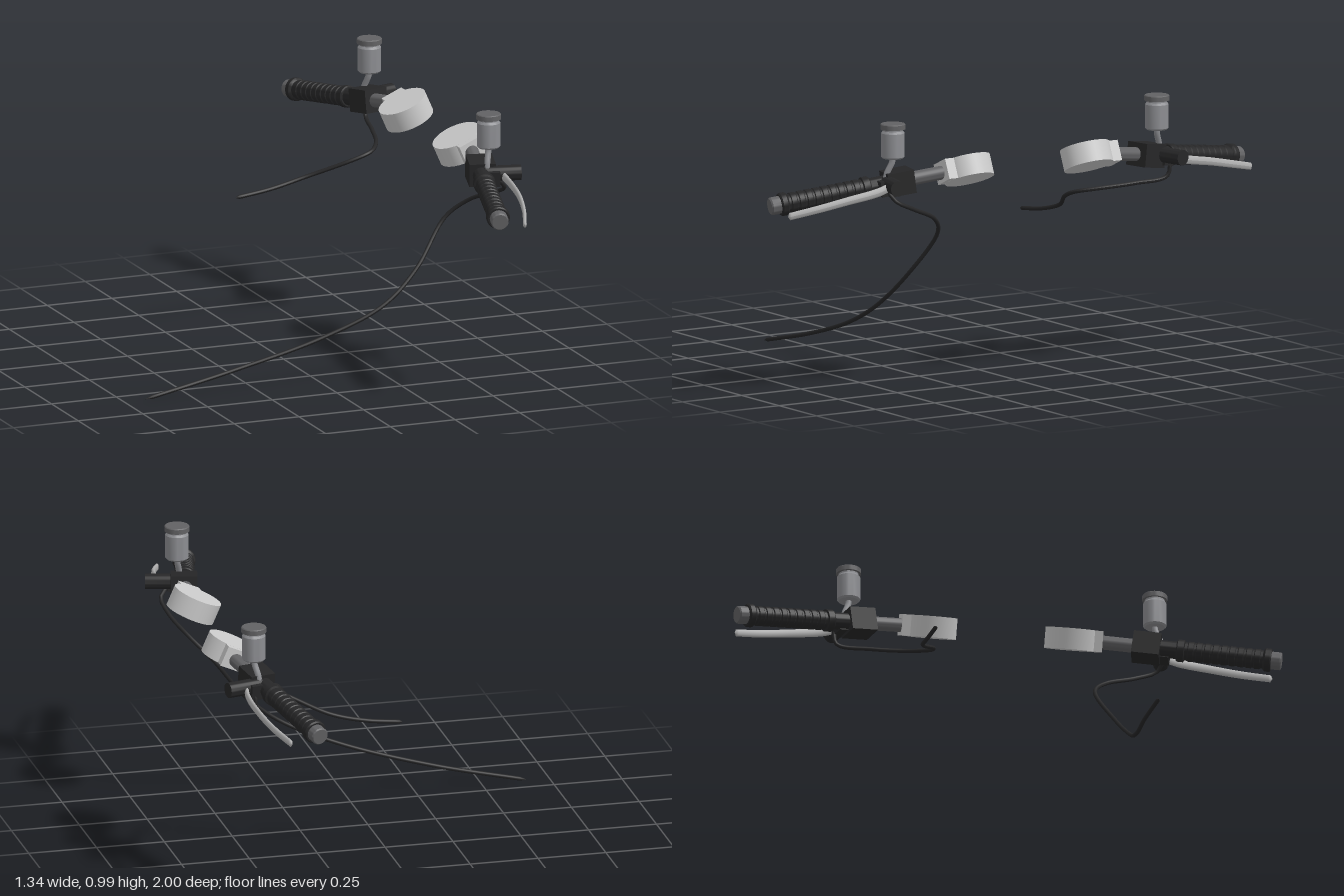
import * as THREE from 'three';
import { toCreasedNormals } from 'three/addons/utils/BufferGeometryUtils.js';

const V = (x, y, z) => new THREE.Vector3(x, y, z);
const UP = V(0, 1, 0);

export function createModel() {
  const paint = (name, color) => {
    const m = new THREE.MeshStandardMaterial({ color });
    m.name = name;
    return m;
  };
  const rubber = paint('blackRubber', 0x262627);
  const steel = paint('darkSteel', 0x626264);
  const grey = paint('reservoirGrey', 0x8c8d91);
  const alloy = paint('lightAlloy', 0xcacaca);
  const silver = paint('leverSilver', 0xb0b0b0);

  const root = new THREE.Group();
  root.name = 'handlebarControls';

  const add = (parent, name, geometry, material) => {
    const mesh = new THREE.Mesh(geometry, material);
    mesh.name = name;
    parent.add(mesh);
    return mesh;
  };

  // Turned part: closed profile of [radius, height], set at a base along a direction
  const turned = (parent, name, profile, material, base, dir) => {
    const pts = profile.map(([r, h]) => new THREE.Vector2(r, h));
    const geo = toCreasedNormals(new THREE.LatheGeometry(pts, 28), 0.6);
    const mesh = add(parent, name, geo, material);
    mesh.position.copy(base);
    mesh.quaternion.setFromUnitVectors(UP, dir);
    return mesh;
  };
  const rod = (parent, name, r, from, to, material) => {
    const d = to.clone().sub(from);
    const h = d.length();
    return turned(parent, name, [[0, 0], [r, 0], [r, h], [0, h]], material, from, d.normalize());
  };

  // Tube through points, flattened sideways and closed at both ends
  const sweep = (parent, name, points, r, flat, material, taper = 0) => {
    const path = new THREE.CatmullRomCurve3(points);
    const seg = 64, sides = 10;
    const geo = new THREE.TubeGeometry(path, seg, r, sides);
    const pos = geo.attributes.position, v = V(0, 0, 0);
    for (let i = 0; i < pos.count; i++) {
      const row = Math.floor(i / (sides + 1));
      const p = path.getPointAt(row / seg);
      const k = row === 0 || row === seg ? 0 : 1 - taper * row / seg;
      v.fromBufferAttribute(pos, i).sub(p).multiply(V(flat * k, k, flat * k)).add(p);
      pos.setXYZ(i, v.x, v.y, v.z);
    }
    geo.computeVertexNormals();
    return add(parent, name, geo, material);
  };

  for (const s of [1, -1]) {
    const side = new THREE.Group();
    side.name = s > 0 ? 'nearControls' : 'farControls';
    root.add(side);
    const P = (x, y, z) => V(x, y, z * s);
    // Point on the handlebar axis at a given distance from the middle
    const onBar = z => P(0.43 + 0.24 * (0.98 - z), 0.721 + 0.137 * (0.98 - z), z);
    const inward = onBar(0).sub(onBar(1)).normalize();

    // Bar and end weight
    rod(side, 'bar', 0.025, onBar(0.96), onBar(0.28), steel);
    turned(side, 'barEnd', [[0, 0], [0.028, 0], [0.032, 0.005], [0.032, 0.05], [0, 0.05]],
      steel, onBar(0.993), inward);

    // Ribbed grip with flanges at both ends
    const grip = [[0, 0], [0.038, 0], [0.042, 0.005], [0.042, 0.022], [0.038, 0.027], [0.033, 0.03]];
    for (let i = 0; i < 9; i++) {
      const h = 0.038 + i * 0.03;
      grip.push([0.033, h], [0.036, h + 0.003], [0.036, h + 0.021], [0.033, h + 0.024]);
    }
    grip.push([0.033, 0.312], [0.04, 0.315], [0.04, 0.338], [0.036, 0.342], [0, 0.342]);
    turned(side, 'grip', grip, rubber, onBar(0.958), inward);

    // Switch housing and lever perch around the bar
    const block = (name, w, h, d, at) => {
      const mesh = new THREE.Mesh(new THREE.BoxGeometry(w, h, d), rubber);
      mesh.name = name;
      mesh.position.copy(at);
      mesh.lookAt(at.clone().add(inward));
      side.add(mesh);
    };
    block('switchHousing', 0.095, 0.085, 0.1, onBar(0.525).add(P(0.005, 0, 0)));
    block('leverPerch', 0.07, 0.055, 0.045, onBar(0.588).add(P(0.03, -0.005, 0)));
    rod(side, 'barSleeve', 0.031, onBar(0.64), onBar(0.56), rubber);
    rod(side, 'masterCylinder', 0.028, P(0.54, 0.782, 0.57), P(0.668, 0.782, 0.602), rubber);

    // Fluid reservoir with lid and feed pipe
    turned(side, 'reservoir', [[0, 0], [0.036, 0], [0.042, 0.006], [0.042, 0.092],
      [0.036, 0.1], [0.036, 0.112], [0, 0.112]], grey, P(0.562, 0.874, 0.558), UP);
    turned(side, 'reservoirLid', [[0, 0], [0.045, 0], [0.045, 0.017], [0.042, 0.02], [0, 0.02]],
      steel, P(0.562, 0.98, 0.558), UP);
    sweep(side, 'feedPipe', [P(0.563, 0.885, 0.558), P(0.56, 0.86, 0.56), P(0.55, 0.82, 0.575),
      P(0.547, 0.79, 0.58)], 0.011, 1, grey);

    // Curved lever blade
    sweep(side, 'lever', [P(0.595, 0.785, 0.575), P(0.604, 0.765, 0.64), P(0.593, 0.742, 0.77),
      P(0.566, 0.718, 0.88), P(0.528, 0.695, 0.98)], 0.017, 0.5, silver, 0.2);

    // Raked fork clamp: round disc with a lug gripping the bar
    const clamp = new THREE.Group();
    clamp.name = 'forkClamp';
    clamp.position.copy(P(0.577, 0.807, 0.252));
    clamp.rotation.z = 0.415;
    side.add(clamp);
    add(clamp, 'clampDisc', new THREE.CylinderGeometry(0.09, 0.09, 0.076, 40), alloy);
    const lug = add(clamp, 'clampLug', new THREE.BoxGeometry(0.083, 0.0755, 0.11), alloy);
    lug.position.set(0.006, 0, 0.058 * s);
  }

  // Long hose on one side, short cable on the other
  sweep(root, 'longHose', [V(-0.668, 0.01, 0.323), V(-0.334, 0.086, 0.34), V(0, 0.184, 0.377),
    V(0.223, 0.285, 0.398), V(0.36, 0.4, 0.373), V(0.49, 0.566, 0.325), V(0.56, 0.637, 0.38),
    V(0.608, 0.69, 0.5), V(0.615, 0.728, 0.58), V(0.58, 0.765, 0.595)], 0.0075, 1, rubber);
  sweep(root, 'shortCable', [V(-0.038, 0.519, -0.36), V(0.1, 0.537, -0.363), V(0.23, 0.57, -0.355),
    V(0.384, 0.634, -0.285), V(0.45, 0.657, -0.282), V(0.5, 0.67, -0.345), V(0.54, 0.683, -0.48),
    V(0.565, 0.702, -0.6), V(0.57, 0.76, -0.61)], 0.0075, 1, rubber);

  return root;
}
